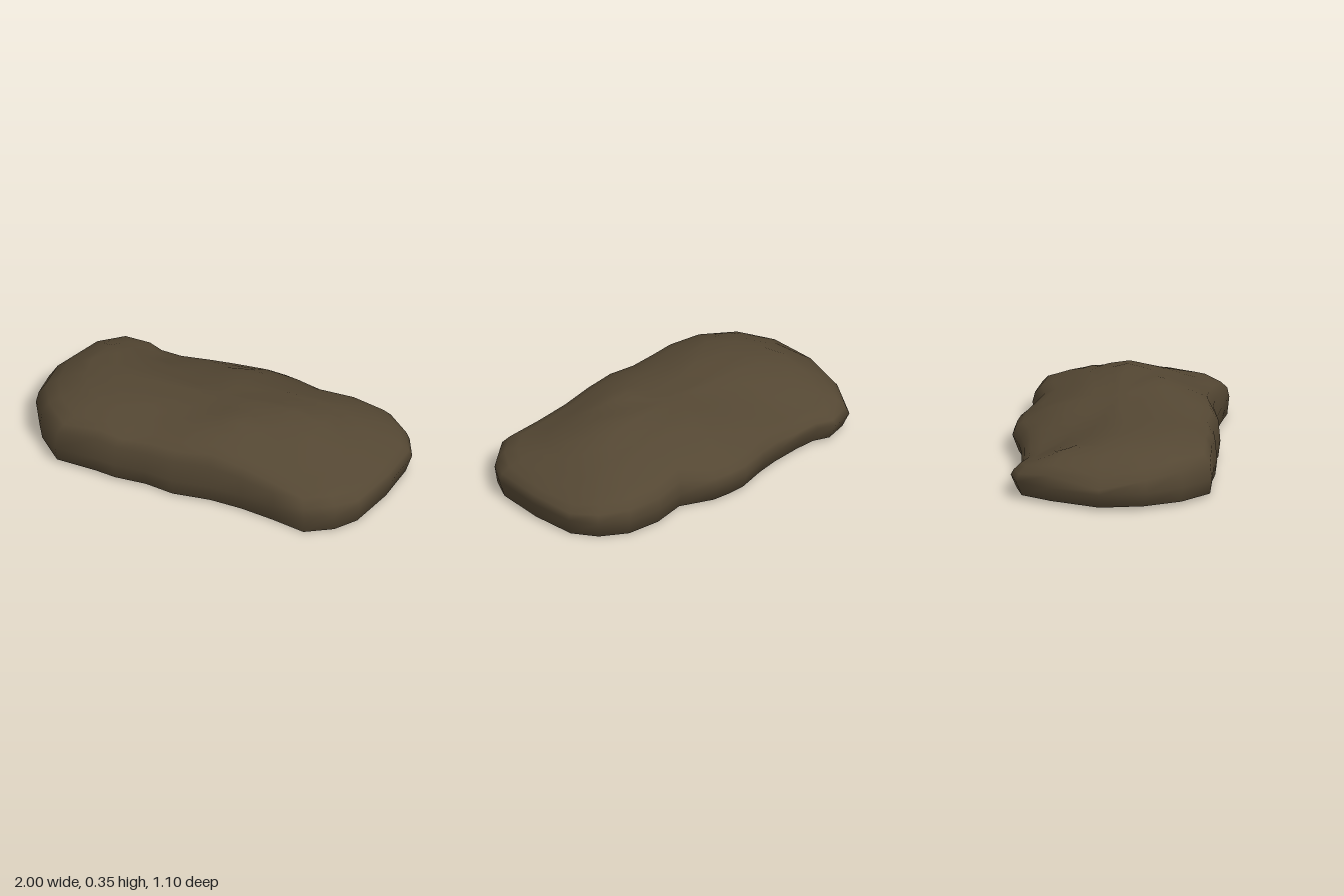
import * as THREE from 'three';
import { mergeVertices } from 'three/addons/utils/BufferGeometryUtils.js';

// widest outline seen from above: left end, along the front, right end, along the back
const OUTLINE = [
  [-1, -0.01], [-0.95, 0.23], [-0.83, 0.41], [-0.67, 0.545], [-0.45, 0.535], [-0.33, 0.54],
  [-0.16, 0.515], [0, 0.525], [0.2, 0.48], [0.38, 0.47], [0.57, 0.48], [0.76, 0.5],
  [0.89, 0.4], [0.97, 0.28], [1, 0], [0.985, -0.26], [0.9, -0.39], [0.76, -0.48],
  [0.57, -0.5], [0.38, -0.46], [0.2, -0.54], [0.1, -0.55], [0, -0.55], [-0.17, -0.5],
  [-0.3, -0.475], [-0.47, -0.46], [-0.59, -0.46], [-0.68, -0.495], [-0.81, -0.455], [-0.9, -0.29],
];

// coarse height map of the upper surface: one row per z, one column per x
const XS = [-1, -0.92, -0.75, -0.5, -0.25, 0, 0.2, 0.4, 0.6, 0.8, 0.95];
const ZS = [-0.5, -0.35, -0.2, 0, 0.2, 0.35, 0.5];
const HEIGHTS = [
  [0.12, 0.14, 0.15, 0.12, 0.15, 0.17, 0.17, 0.17, 0.18, 0.17, 0.14],
  [0.12, 0.17, 0.20, 0.17, 0.22, 0.26, 0.25, 0.25, 0.26, 0.20, 0.15],
  [0.13, 0.20, 0.27, 0.24, 0.26, 0.30, 0.31, 0.31, 0.30, 0.235, 0.16],
  [0.13, 0.21, 0.29, 0.31, 0.31, 0.33, 0.34, 0.37, 0.33, 0.24, 0.165],
  [0.13, 0.21, 0.29, 0.32, 0.32, 0.33, 0.365, 0.33, 0.295, 0.235, 0.165],
  [0.13, 0.20, 0.26, 0.31, 0.29, 0.31, 0.32, 0.27, 0.24, 0.21, 0.16],
  [0.12, 0.16, 0.20, 0.26, 0.23, 0.25, 0.24, 0.21, 0.19, 0.17, 0.14],
];

// cell number and blend factor of a value in a list of stations
function locate(list, v) {
  const c = THREE.MathUtils.clamp(v, list[0], list[list.length - 1]);
  let i = 0;
  while (i < list.length - 2 && c > list[i + 1]) i++;
  return [i, (c - list[i]) / (list[i + 1] - list[i])];
}

function surfaceHeight(x, z) {
  const [i, u] = locate(XS, x);
  const [j, v] = locate(ZS, z);
  const row = (r) => THREE.MathUtils.lerp(HEIGHTS[r][i], HEIGHTS[r][i + 1], u);
  return THREE.MathUtils.lerp(row(j), row(j + 1), v);
}

// one closed ring: the outline moved inward, with a rule for its height
function ring(inset, height, frontInset = inset) {
  return OUTLINE.map(([x, z]) => {
    const s = THREE.MathUtils.lerp(inset, frontInset, THREE.MathUtils.smoothstep(z, 0.2, 0.45));
    const px = x * (1 - 0.5 * s), pz = z * (1 - s);
    return [px, height(px, pz), pz];
  });
}

export function createModel() {
  const ground = (x) => 0.015 - 0.01 * x;
  const rings = [
    ring(0.1, (x) => ground(x) + 0.008, 0.06),                        // lip turned in
    ring(0.06, ground, 0.02),                                         // ground rim
    ring(0, () => 0.1),                                               // widest line
    ring(0.03, (x, z) => Math.max(0.12, 0.85 * surfaceHeight(x, z)), 0.02), // shoulder
    ...[0.1, 0.22, 0.36, 0.5].map((s) => ring(s, surfaceHeight, s * 0.85)),
  ];

  // crown: shrink the last ring to one centre point
  const last = rings[rings.length - 1];
  for (const k of [0.8, 0.6, 0.4, 0.2, 0]) {
    rings.push(last.map(([x, , z]) => [x * k, surfaceHeight(x * k, z * k), z * k]));
  }

  const n = OUTLINE.length;
  const index = [];
  for (let r = 0; r < rings.length - 1; r++) {
    for (let i = 0; i < n; i++) {
      const a = r * n + i, b = r * n + (i + 1) % n;
      index.push(a, b, b + n);
      if (r < rings.length - 2) index.push(a, b + n, a + n);
    }
  }

  // open shell with smooth shading
  let geometry = new THREE.BufferGeometry();
  geometry.setAttribute('position', new THREE.Float32BufferAttribute(rings.flat(2), 3));
  geometry.setIndex(index);
  geometry = mergeVertices(geometry, 1e-5);
  geometry.computeVertexNormals();

  const material = new THREE.MeshStandardMaterial({ color: 0x544733, side: THREE.DoubleSide });
  const mound = new THREE.Mesh(geometry, material);
  mound.name = 'moundShell';

  const group = new THREE.Group();
  group.name = 'mound';
  group.add(mound);
  return group;
}
